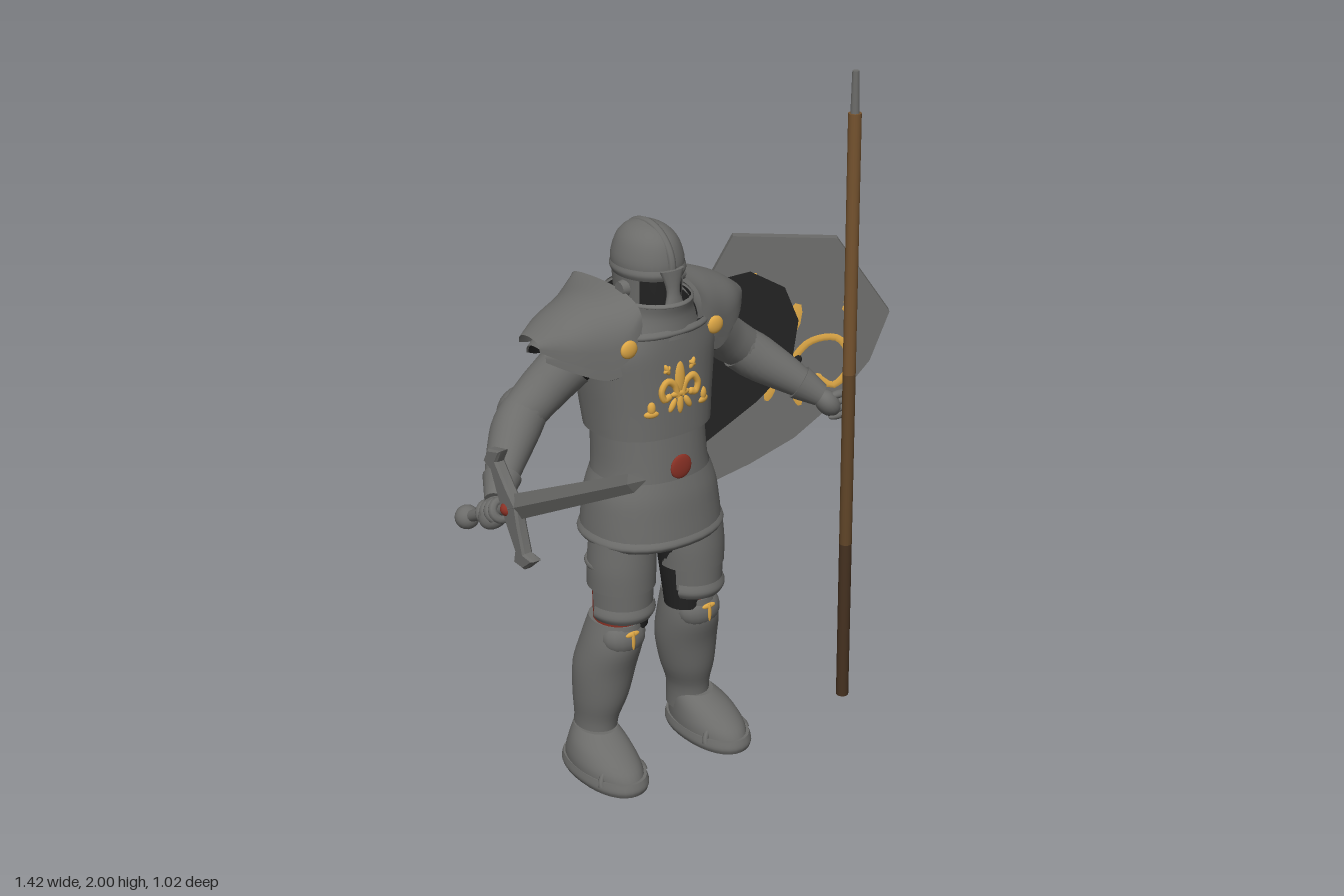
import * as THREE from 'three';
import { toCreasedNormals } from 'three/addons/utils/BufferGeometryUtils.js';

const mat = (name, color) => {
  const m = new THREE.MeshStandardMaterial({ color, side: THREE.DoubleSide });
  m.name = name;
  return m;
};
const steel = mat('steel', 0x6c6c6a), dark = mat('dark lining', 0x222222);
const gold = mat('gold', 0xdda746), red = mat('red cloth', 0x8c3226);
const woodTop = mat('wood', 0x75532f), woodMid = mat('mid wood', 0x604528), woodLow = mat('dark wood', 0x453120);

function add(parent, name, geo, material, pos = [0, 0, 0], rot = [0, 0, 0], scale = [1, 1, 1]) {
  const m = new THREE.Mesh(geo, material);
  m.name = name;
  m.position.set(...pos);
  m.rotation.set(...rot);
  m.scale.set(...scale);
  parent.add(m);
}
const ball = (parent, name, material, pos, scale, rot) => add(parent, name, new THREE.SphereGeometry(1, 18, 12), material, pos, rot, scale);

// Catmull-Rom interpolation of ring keys
function smooth(keys, k = 4) {
  const out = [];
  for (let i = 0; i < keys.length - 1; i++) {
    const [a, b, c, d] = [keys[Math.max(i - 1, 0)], keys[i], keys[i + 1], keys[Math.min(i + 2, keys.length - 1)]];
    for (let s = 0; s < k; s++) {
      const t = s / k;
      out.push(b.map((v, q) => v + 0.5 * t * (c[q] - a[q] + t * (2 * a[q] - 5 * v + 4 * c[q] - d[q] + t * (3 * (v - c[q]) + d[q] - a[q])))));
    }
  }
  out.push(keys[keys.length - 1]);
  return out;
}

// Surface through elliptical rings [x, y, z, rx, rz]; along = rings square to the path
function loft(keys, { n = 32, p = 1, a0 = 0, a1 = Math.PI * 2, cap = true, along = false, k = 4 } = {}) {
  let rings = smooth(keys, k);
  const up = new THREE.Vector3(0, 1, 0), last = rings.length - 1;
  const quats = rings.map((r, i) => {
    const a = rings[Math.max(i - 1, 0)], b = rings[Math.min(i + 1, last)];
    const d = new THREE.Vector3(b[0] - a[0], b[1] - a[1], b[2] - a[2]).normalize();
    return along ? new THREE.Quaternion().setFromUnitVectors(up, d) : new THREE.Quaternion();
  });
  if (cap) {
    const s = rings[0], e = rings[last], flat = r => [r[0], r[1], r[2], 0, 0];
    rings = [flat(s), s, ...rings, e, flat(e)];
    quats.unshift(quats[0], quats[0]);
    quats.push(quats[quats.length - 1], quats[quats.length - 1]);
  }
  const closed = a1 - a0 > 6.28, w = closed ? n : n + 1, pos = [], idx = [];
  const pw = v => Math.sign(v) * Math.abs(v) ** p;
  rings.forEach((r, i) => {
    for (let j = 0; j < w; j++) {
      const a = a0 + (a1 - a0) * j / n;
      const v = new THREE.Vector3(r[3] * pw(Math.sin(a)), 0, r[4] * pw(Math.cos(a))).applyQuaternion(quats[i]);
      pos.push(r[0] + v.x, r[1] + v.y, r[2] + v.z);
    }
    if (i) for (let j = 0; j < n; j++) {
      const b = (j + 1) % w, o = (i - 1) * w, q = i * w;
      idx.push(o + j, o + b, q + b, o + j, q + b, q + j);
    }
  });
  return indexed(pos, idx);
}

function indexed(pos, idx) {
  const g = new THREE.BufferGeometry();
  g.setAttribute('position', new THREE.Float32BufferAttribute(pos, 3));
  g.setIndex(idx);
  g.computeVertexNormals();
  return g;
}

const shape = pts => new THREE.Shape(pts.map(q => new THREE.Vector2(...q)));
const slab = (s, depth, bevel = 0) => toCreasedNormals(new THREE.ExtrudeGeometry(s, {
  depth, bevelEnabled: bevel > 0, bevelSize: bevel, bevelThickness: bevel, bevelOffset: -bevel, bevelSegments: 1 }), 0.5);

// Three-petal flower emblem, about 0.4 tall, centred on z = 0
function fleur(name) {
  const g = new THREE.Group();
  g.name = name;
  const blob = (x, y, w, h, r = 0) => ball(g, name + 'Petal', gold, [x, y, 0], [w, h, 0.014], [0, 0, r]);
  blob(0, 0.07, 0.05, 0.13);
  blob(0, -0.13, 0.032, 0.08);
  blob(0, -0.05, 0.1, 0.028);
  for (const s of [-1, 1]) {
    const c = new THREE.CatmullRomCurve3([[0.02, -0.07], [0.06, 0.03], [0.13, 0.06], [0.18, 0], [0.155, -0.07], [0.11, -0.06]]
      .map(([x, y]) => new THREE.Vector3(s * x, y, 0)));
    add(g, name + 'Curl', new THREE.TubeGeometry(c, 24, 0.029, 8), gold, [0, 0, 0], [0, 0, 0], [1, 1, 0.5]);
    blob(s * 0.075, -0.13, 0.028, 0.06, s * 0.6);
    blob(s * 0.125, 0.155, 0.022, 0.048, -s * 0.5);
    blob(s * 0.125, 0.155, 0.018, 0.038, s);
    blob(s * 0.11, -0.06, 0.03, 0.028);
  }
  return g;
}

// Arched shoulder plate; sections: offset, top, front edge y, back edge y, front z, back z
function pauldron(side, drop, grow) {
  const secs = smooth([
    [0.10, 1.50, 1.42, 1.47, -0.155, -0.48], [0.14, 1.49, 1.34, 1.40, -0.155, -0.48], [0.20, 1.475, 1.31, 1.33, -0.18, -0.46],
    [0.28, 1.44, 1.335, 1.335, -0.22, -0.43], [0.345, 1.395, 1.365, 1.365, -0.285, -0.385]]);
  const pos = [], idx = [], n = 20;
  secs.forEach(([d, top, yf, yb, zf, zb], i) => {
    for (let j = 0; j <= n; j++) {
      const t = Math.PI * j / n, c = Math.cos(t), f = (1 + c) / 2, low = yf * f + yb * (1 - f);
      pos.push(side * d * grow, low + (top - low) * Math.max(Math.sin(t), 0) ** 0.6 - drop, (zf + zb) / 2 + (zf - zb) / 2 * c * grow);
      if (i && j) {
        const a = (i - 1) * (n + 1) + j, b = i * (n + 1) + j;
        idx.push(a - 1, b - 1, b, a - 1, b, a);
      }
    }
  });
  if (side < 0) idx.reverse();
  return indexed(pos, idx);
}

export function createModel() {
  const model = new THREE.Group(), body = new THREE.Group();
  model.name = 'armouredKnight';
  body.name = 'body';
  body.position.x = -0.08;
  model.add(body);

  // Torso, waist and skirt
  add(body, 'breastplate', loft([[0, 1.085, -0.28, 0.178, 0.157], [0, 1.16, -0.286, 0.185, 0.163], [0, 1.25, -0.29, 0.195, 0.167],
    [0, 1.33, -0.29, 0.2, 0.167], [0, 1.385, -0.288, 0.174, 0.163]], { p: 0.85 }), steel);
  add(body, 'neckOpening', loft([[0, 1.38, -0.288, 0.164, 0.154], [0, 1.392, -0.288, 0.164, 0.154]], { p: 0.85, k: 1 }), dark);
  add(body, 'neckEdge', loft([[0, 1.375, -0.288, 0.172, 0.16], [0, 1.387, -0.288, 0.178, 0.167], [0, 1.4, -0.288, 0.17, 0.159]], { p: 0.85, cap: false }), steel);
  add(body, 'waist', loft([[0, 0.93, -0.27, 0.172, 0.15], [0, 0.99, -0.274, 0.163, 0.15], [0, 1.10, -0.28, 0.16, 0.147]], { p: 0.9 }), steel);
  add(body, 'skirt', loft([[0, 0.775, -0.27, 0.205, 0.178], [0, 0.83, -0.27, 0.2, 0.172], [0, 0.9, -0.27, 0.19, 0.164], [0, 0.955, -0.27, 0.17, 0.152]], { p: 0.9, cap: false }), steel);
  add(body, 'skirtHem', loft([[0, 0.755, -0.27, 0.203, 0.176], [0, 0.77, -0.27, 0.213, 0.184], [0, 0.79, -0.27, 0.203, 0.174]], { p: 0.9, cap: false }), steel);
  add(body, 'hips', loft([[0, 0.74, -0.27, 0.16, 0.12], [0, 0.92, -0.27, 0.165, 0.145]], { k: 1 }), dark);
  ball(body, 'beltGem', red, [0, 0.99, -0.123], [0.036, 0.036, 0.008]);

  // Neck and helmet
  add(body, 'gorget', loft([[0, 1.37, -0.28, 0.15, 0.158], [0, 1.43, -0.268, 0.118, 0.14], [0, 1.465, -0.266, 0.113, 0.145]], { a0: -1.3, a1: 1.3, cap: false }), steel);
  add(body, 'collarLining', loft([[0, 1.385, -0.267, 0.106, 0.13], [0, 1.462, -0.266, 0.108, 0.138]], { cap: false, k: 1 }), dark);
  add(body, 'collarRim', loft([[0, 1.457, -0.266, 0.108, 0.138], [0, 1.465, -0.266, 0.114, 0.146], [0, 1.473, -0.266, 0.108, 0.138]], { cap: false }), steel);
  add(body, 'face', loft([[0, 1.36, -0.26, 0.07, 0.08], [0, 1.43, -0.25, 0.075, 0.09], [0, 1.57, -0.26, 0.083, 0.1]]), dark);
  add(body, 'helmetDome', loft([[0, 1.535, -0.265, 0.092, 0.112], [0, 1.575, -0.265, 0.094, 0.112], [0, 1.625, -0.266, 0.077, 0.096],
    [0, 1.655, -0.268, 0.048, 0.064], [0, 1.668, -0.27, 0.012, 0.02]]), steel);
  add(body, 'browBand', loft([[0, 1.53, -0.264, 0.092, 0.111], [0, 1.545, -0.264, 0.098, 0.117], [0, 1.56, -0.264, 0.094, 0.112]], { cap: false }), steel);
  add(body, 'helmetSkirt', loft([[0, 1.41, -0.265, 0.086, 0.1], [0, 1.46, -0.265, 0.088, 0.103], [0, 1.545, -0.265, 0.092, 0.112]],
    { a0: 0.95, a1: Math.PI * 2 - 0.95, cap: false }), steel);
  add(body, 'helmetCrest', new THREE.TorusGeometry(0.106, 0.012, 8, 28, Math.PI), steel, [0, 1.563, -0.265], [0, Math.PI / 2, 0], [1.04, 0.96, 1]);
  add(body, 'noseGuard', loft([[0, 1.385, -0.165, 0.02, 0.01], [0, 1.44, -0.145, 0.036, 0.016], [0, 1.50, -0.15, 0.02, 0.014], [0, 1.56, -0.155, 0.04, 0.014]], { n: 12 }), steel);

  // Chest emblem
  const chest = fleur('chestEmblem');
  chest.position.set(0, 1.23, -0.125);
  chest.scale.set(0.34, 0.38, 0.6);
  body.add(chest);

  for (const s of [-1, 1]) {
    add(body, 'helmetHinge', new THREE.CylinderGeometry(0.02, 0.024, 0.02, 16), steel, [s * 0.096, 1.5, -0.25], [0, 0, -s * Math.PI / 2]);
    ball(body, 'sideEmblemTop', gold, [s * 0.088, 1.183, -0.137], [0.012, 0.02, 0.009], [0, s * 0.3, 0]);
    ball(body, 'sideEmblemBase', gold, [s * 0.088, 1.165, -0.138], [0.022, 0.011, 0.009], [0, s * 0.3, 0]);

    // Shoulders
    add(body, 'pauldron', pauldron(s, 0, 1), steel);
    add(body, 'lowerPauldron', pauldron(s, 0.035, 0.94), steel);
    add(body, 'pauldronLining', pauldron(s, 0.037, 0.92), dark);
    ball(body, 'shoulderBoss', gold, [s * 0.146, 1.365, -0.155], [0.027, 0.026, 0.011]);

    // Arms, with a dark sleeve at the armpit
    add(body, 'sleeve', loft([[s * 0.16, 1.35, -0.30, 0.07, 0.075], [s * 0.22, 1.31, -0.31, 0.07, 0.074], [s * 0.28, 1.265, -0.325, 0.066, 0.068]], { along: true, n: 24 }), dark);
    add(body, 'upperArm', loft([[s * 0.235, 1.3, -0.313, 0.073, 0.075], [s * 0.31, 1.235, -0.33, 0.068, 0.068],
      [s * 0.39, 1.175, -0.33, 0.062, 0.06]], { along: true, n: 24 }), steel);
    ball(body, 'elbowGuard', steel, [s * 0.375, 1.185, -0.34], [0.06, 0.075, 0.075], [0, 0, s * 0.7]);
    add(body, 'forearm', loft([[s * 0.37, 1.185, -0.335, 0.066, 0.066], [s * 0.42, 1.145, -0.31, 0.068, 0.067], [s * 0.49, 1.09, -0.255, 0.055, 0.052],
      [s * 0.55, 1.04, -0.20, 0.037, 0.035]], { along: true, n: 24 }), steel);
    add(body, 'gauntletCuff', loft([[s * 0.515, 1.068, -0.232, 0.055, 0.052], [s * 0.56, 1.03, -0.19, 0.036, 0.034]], { along: true, n: 20, k: 1 }), steel);
    ball(body, 'hand', steel, [s * 0.578, 1.005, -0.178], [0.034, 0.05, 0.042], [0.3, 0, s * 0.7]);

    // Legs under the plates
    add(body, 'leg', loft([[s * 0.128, 0.45, -0.265, 0.065, 0.07], [s * 0.128, 0.58, -0.258, 0.07, 0.08], [s * 0.118, 0.78, -0.255, 0.072, 0.085]], { n: 24 }), red);
    add(body, 'innerLeg', loft([[s * 0.1, 0.48, -0.25, 0.055, 0.06], [s * 0.09, 0.62, -0.25, 0.062, 0.07], [s * 0.08, 0.78, -0.25, 0.07, 0.085]], { n: 24 }), dark);
    add(body, 'outerLeg', loft([[s * 0.15, 0.62, -0.255, 0.052, 0.06], [s * 0.147, 0.78, -0.25, 0.056, 0.075]], { n: 24, k: 1 }), dark);

    // Thigh plates, narrowing to a front knee band
    const plate = (name, keys, half) => add(body, name, loft(keys, { a0: -half + s * 0.25, a1: half + s * 0.25, cap: false }), steel);
    plate('thighPlate', [[s * 0.123, 0.62, -0.247, 0.096, 0.102], [s * 0.122, 0.69, -0.245, 0.097, 0.102], [s * 0.12, 0.77, -0.245, 0.09, 0.1]], 1.9);
    plate('lowerThighPlate', [[s * 0.125, 0.55, -0.25, 0.088, 0.098], [s * 0.124, 0.64, -0.248, 0.093, 0.1]], 1.4);
    plate('thighPlateEdge', [[s * 0.125, 0.525, -0.25, 0.086, 0.096], [s * 0.125, 0.545, -0.25, 0.097, 0.106], [s * 0.125, 0.57, -0.25, 0.09, 0.1]], 1.3);
    add(body, 'thighStrap', new THREE.TorusGeometry(0.088, 0.011, 8, 32), steel, [s * 0.122, 0.69, -0.257], [Math.PI / 2, 0, 0]);

    // Boots
    add(body, 'greave', loft([[s * 0.172, 0.08, -0.33, 0.06, 0.075], [s * 0.168, 0.16, -0.325, 0.06, 0.073], [s * 0.158, 0.24, -0.315, 0.078, 0.088],
      [s * 0.148, 0.34, -0.305, 0.09, 0.098], [s * 0.138, 0.43, -0.28, 0.085, 0.1], [s * 0.13, 0.505, -0.27, 0.072, 0.088]]), steel);
    ball(body, 'kneeGuard', steel, [s * 0.135, 0.46, -0.228], [0.07, 0.06, 0.055], [-0.15, 0, 0]);
    ball(body, 'kneeEmblemStem', gold, [s * 0.137, 0.462, -0.174], [0.006, 0.03, 0.004]);
    ball(body, 'kneeEmblemBar', gold, [s * 0.137, 0.482, -0.178], [0.024, 0.008, 0.005], [-0.3, 0, 0]);
    add(body, 'sole', loft([[s * 0.19, 0.005, -0.255, 0.086, 0.163], [s * 0.19, 0.022, -0.255, 0.093, 0.168], [s * 0.19, 0.045, -0.257, 0.088, 0.162]], { p: 0.9 }), steel);
    add(body, 'foot', loft([[s * 0.19, 0.03, -0.256, 0.086, 0.16], [s * 0.19, 0.065, -0.263, 0.086, 0.146], [s * 0.186, 0.105, -0.285, 0.076, 0.112],
      [s * 0.177, 0.14, -0.318, 0.058, 0.076]]), steel);
    for (let i = 0; i < 3; i++) {
      add(body, 'footPlate', new THREE.TorusGeometry(0.077 - i * 0.003, 0.009, 8, 24, Math.PI), steel,
        [s * 0.19, 0.03, -0.165 - i * 0.045], [-0.35, 0, 0], [1, 0.72 + i * 0.22, 1]);
    }
  }

  // Sword, built along its own y
  const sword = new THREE.Group();
  sword.name = 'sword';
  sword.position.set(-0.66, 1.053, -0.09);
  sword.rotation.x = THREE.MathUtils.degToRad(63);
  model.add(sword);
  const blade = (a, b, h) => toCreasedNormals(new THREE.CylinderGeometry(a, b, h, 4), 0.3);
  add(sword, 'blade', blade(0.024, 0.035, 0.6), steel, [0, 0.3, 0], [0, 0, 0], [0.48, 1, 1]);
  add(sword, 'bladeTip', blade(0.001, 0.024, 0.07), steel, [0, 0.635, 0], [0, 0, 0], [0.48, 1, 1]);
  add(sword, 'guard', slab(shape([[-0.15, 0.05], [-0.125, 0.015], [-0.05, 0.03], [0, 0.045], [0.05, 0.03], [0.125, 0.015], [0.15, 0.05],
    [0.165, -0.01], [0.14, -0.05], [0.11, -0.025], [0.04, -0.03], [-0.04, -0.03], [-0.11, -0.025], [-0.14, -0.05], [-0.165, -0.01]]), 0.02, 0.006),
  steel, [-0.01, 0, 0], [0, Math.PI / 2, 0]);
  ball(sword, 'guardGem', red, [0, -0.012, 0], [0.026, 0.022, 0.022]);
  add(sword, 'grip', new THREE.CylinderGeometry(0.016, 0.016, 0.23, 14), steel, [0, -0.12, 0]);
  ball(sword, 'pommel', steel, [0, -0.25, 0], [0.034, 0.034, 0.034]);
  for (let i = 0; i < 4; i++) add(sword, 'finger', new THREE.TorusGeometry(0.024, 0.013, 8, 18), steel, [0, -0.06 - i * 0.024, 0], [Math.PI / 2, 0, 0]);

  // Spear, with the fingers resting behind the shaft
  const spear = new THREE.Group();
  spear.name = 'spear';
  spear.position.set(0.54, 0, -0.133);
  model.add(spear);
  [[0.03, 0.55, woodLow], [0.55, 1.1, woodMid], [1.1, 1.88, woodTop]].forEach(([a, b, m]) =>
    add(spear, 'shaft', new THREE.CylinderGeometry(0.019, 0.019, b - a, 16), m, [0, (a + b) / 2, 0]));
  add(spear, 'spearTip', new THREE.CylinderGeometry(0.01, 0.013, 0.12, 12), steel, [0, 1.94, 0]);
  for (let i = 0; i < 4; i++) ball(spear, 'finger', steel, [-0.015, 0.965 + i * 0.022, -0.028], [0.036, 0.012, 0.014]);

  // Shield: local +z faces the body
  const shield = new THREE.Group();
  shield.name = 'shield';
  shield.position.set(0.456, 1.09, -0.327);
  shield.rotation.set(-0.04, THREE.MathUtils.degToRad(-35.4), 0, 'YXZ');
  model.add(shield);
  const outline = [[-0.15, 0.397], [0.15, 0.385], [0.305, 0.16], [0.25, 0.01], [0.15, -0.12], [0.03, -0.23], [-0.1, -0.31],
    [-0.26, -0.39], [-0.285, -0.24], [-0.295, -0.09], [-0.285, 0.08], [-0.235, 0.24]];
  const inner = outline.map(([x, y]) => [-0.02 + (x + 0.02) * 0.88, 0.03 + (y - 0.03) * 0.89]);
  add(shield, 'shieldPanel', slab(shape(outline), 0.02), steel, [0, 0, -0.005]);
  const rim = shape(outline);
  rim.holes.push(new THREE.Path(inner.map(q => new THREE.Vector2(...q))));
  add(shield, 'shieldRim', slab(rim, 0.018, 0.005), steel, [0, 0, -0.016]);
  add(shield, 'shieldLining', slab(shape([[-0.22, 0.26], [-0.1, 0.29], [0.0, 0.24], [0.04, 0.14], [0.02, 0.0], [-0.08, -0.11], [-0.26, -0.26],
    [-0.28, -0.1], [-0.27, 0.07]]), 0.004), dark, [0, 0, 0.015]);
  const emblem = fleur('shieldEmblem');
  emblem.position.set(0, 0.06, -0.01);
  emblem.rotation.z = -0.3;
  emblem.scale.set(1.12, 1.1, 2);
  shield.add(emblem);
  add(shield, 'armStrap', new THREE.TorusGeometry(0.06, 0.012, 8, 20, Math.PI), dark, [-0.02, 0.02, 0.012], [Math.PI / 2, 0, 0]);
  return model;
}
